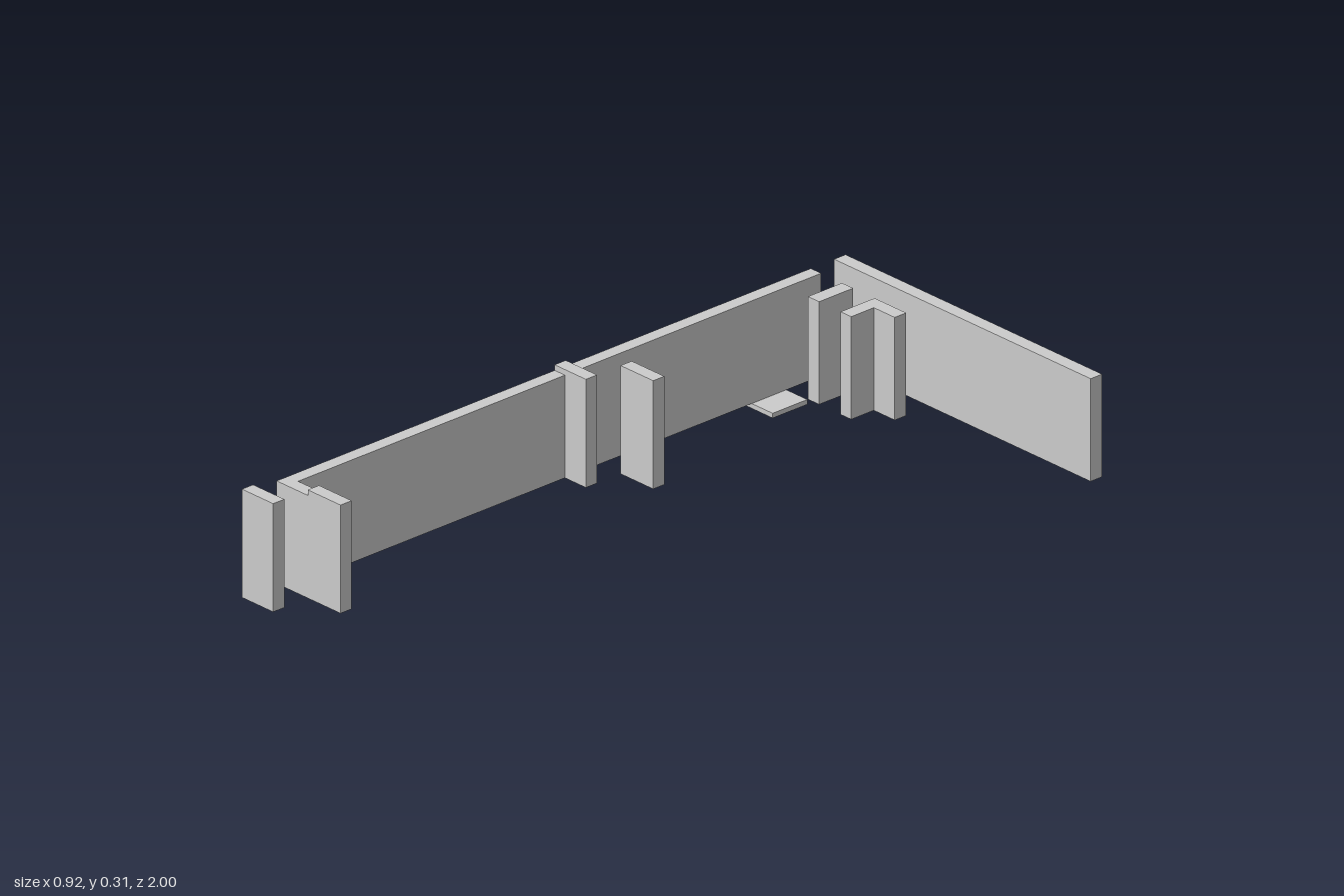
import * as THREE from 'three';

const BASE = 0.013; // underside of all walls
const LOW = 0.29;   // top of ordinary walls
const HIGH = 0.305; // top of raised panels

export function createModel() {
  const model = new THREE.Group();
  model.name = 'wallLayout';
  const material = new THREE.MeshStandardMaterial({ color: 0xcccccc, flatShading: true });

  // Upright block given by its plan extents and heights
  function block(name, x0, x1, z0, z1, top, bottom = BASE) {
    const mesh = new THREE.Mesh(new THREE.BoxGeometry(x1 - x0, top - bottom, z1 - z0), material);
    mesh.position.set((x0 + x1) / 2, (bottom + top) / 2, (z0 + z1) / 2);
    mesh.name = name;
    model.add(mesh);
  }

  // Upright wall extruded from a plan outline of [x, z] points
  function planWall(name, points, top) {
    const shape = new THREE.Shape(points.map(([x, z]) => new THREE.Vector2(x, -z)));
    const geometry = new THREE.ExtrudeGeometry(shape, { depth: top - BASE, bevelEnabled: false });
    geometry.rotateX(-Math.PI / 2);
    const mesh = new THREE.Mesh(geometry, material);
    mesh.position.y = BASE;
    mesh.name = name;
    model.add(mesh);
  }

  // Main walls: free-standing back wall and long side wall with a front return
  block('backWall', -0.46, 0.46, -1, -0.962, LOW);
  planWall('sideWall', [
    [-0.46, -0.885], [-0.46, 0.885], [-0.348, 0.885],
    [-0.348, 0.848], [-0.423, 0.848], [-0.423, -0.885],
  ], LOW);

  // Raised panels
  block('frontPanel', -0.46, -0.348, 0.963, 1, HIGH);
  block('cornerPanel', -0.348, -0.231, 0.848, 0.885, HIGH);
  block('middlePanel', -0.46, -0.348, -0.073, -0.036, HIGH);
  block('innerPanel', -0.348, -0.231, -0.188, -0.151, HIGH);

  // Short walls near the back
  block('stubWall', -0.348, -0.308, -0.885, -0.772, LOW);
  planWall('angleWall', [
    [-0.231, -0.885], [-0.231, -0.772], [-0.193, -0.772],
    [-0.193, -0.847], [-0.118, -0.847], [-0.118, -0.885],
  ], LOW);

  // Thin floor plate beside the side wall
  block('floorPlate', -0.46, -0.348, -0.77, -0.655, BASE, 0);

  return model;
}
